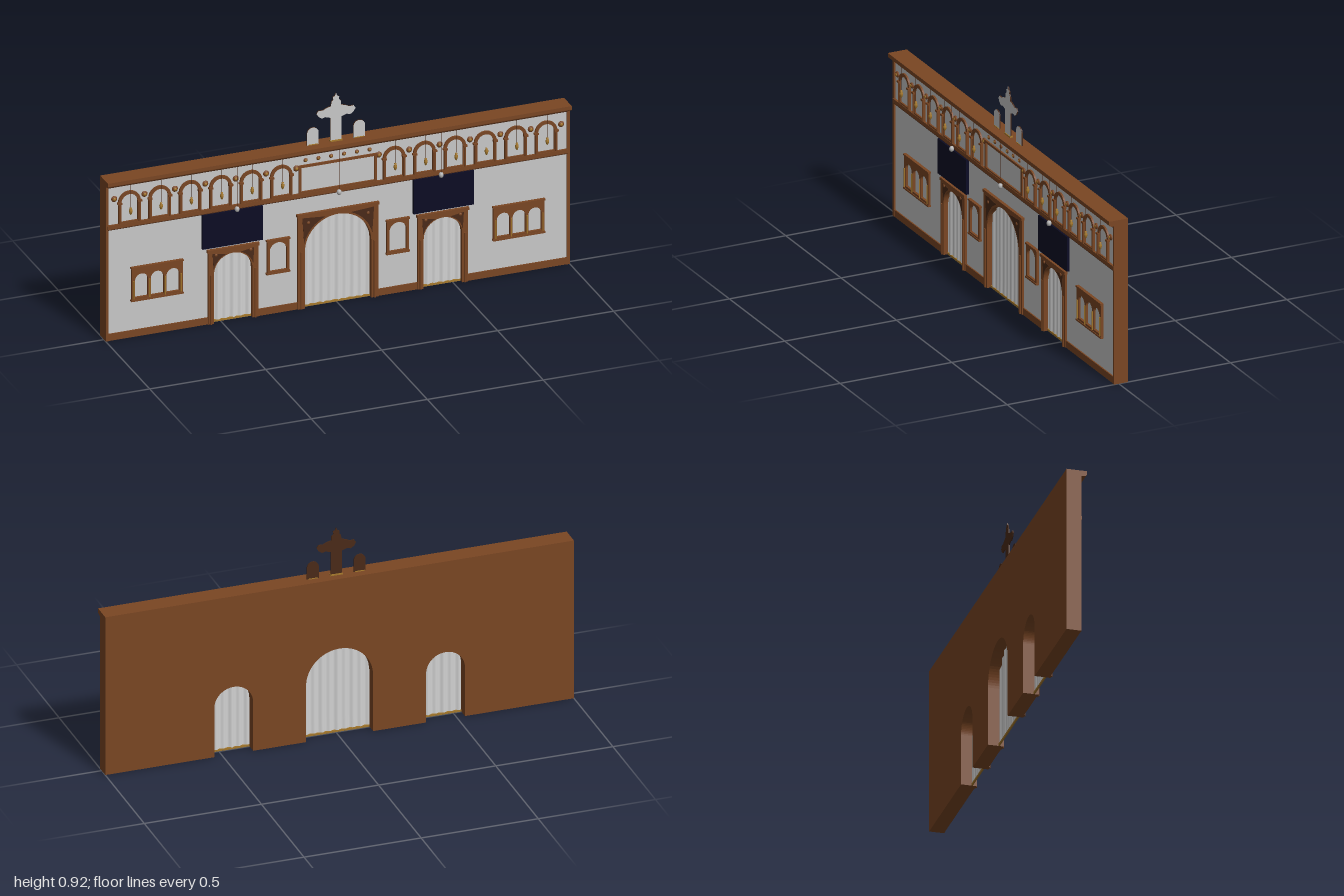
import * as THREE from 'three';

const mat = (name, color, side = THREE.FrontSide) => {
  const m = new THREE.MeshStandardMaterial({ color, side });
  m.name = name;
  return m;
};

export function createModel() {
  const group = new THREE.Group();
  const wood = mat('brown wood', 0x7a4623);
  const darkWood = mat('dark wood', 0x4a2a18);
  const plaster = mat('pale panel', 0xc8c8c8);
  const cloth = mat('curtain cloth', 0xd2d2d2, THREE.DoubleSide);
  const navy = mat('navy panel', 0x0b0b24);
  const gold = mat('gold', 0xa5782c);
  const silver = mat('silver', 0xb4b4b4);

  const add = (name, geo, material, x = 0, y = 0, z = 0) => {
    const m = new THREE.Mesh(geo, material);
    m.name = name;
    m.position.set(x, y, z);
    group.add(m);
    return m;
  };
  // box given by its x, y and z ranges
  const box = (name, material, x0, x1, y0, y1, z0, z1) =>
    add(name, new THREE.BoxGeometry(x1 - x0, y1 - y0, z1 - z0), material, (x0 + x1) / 2, (y0 + y1) / 2, (z0 + z1) / 2);
  const extrude = (shape, depth) =>
    new THREE.ExtrudeGeometry(shape, { depth, bevelEnabled: false, curveSegments: 20 });
  // round-topped outline standing on y0
  const arch = (path, cx, w, y0, top) => {
    path.moveTo(cx - w, y0);
    path.lineTo(cx + w, y0);
    path.lineTo(cx + w, top - w);
    path.absarc(cx, top - w, w, 0, Math.PI, false);
    path.lineTo(cx - w, y0);
    return path;
  };
  const rect = (x0, x1, y0, y1) =>
    new THREE.Shape([[x0, y0], [x1, y0], [x1, y1], [x0, y1]].map(p => new THREE.Vector2(...p)));
  // rectangle with round-topped openings cut from its bottom edge
  const notched = (x0, x1, top, doors) => {
    const s = new THREE.Shape();
    s.moveTo(x0, 0);
    for (const d of doors) {
      s.lineTo(d.x - d.w, 0);
      s.lineTo(d.x - d.w, d.top - d.w);
      s.absarc(d.x, d.top - d.w, d.w, Math.PI, 0, true);
      s.lineTo(d.x + d.w, 0);
    }
    s.lineTo(x1, 0);
    s.lineTo(x1, top);
    s.lineTo(x0, top);
    return s;
  };

  // wall with three doorways and its pale facing
  const doors = [
    { x: -0.452, w: 0.083, top: 0.302, ow: 0.108, otop: 0.325 },
    { x: 0, w: 0.143, top: 0.396, ow: 0.173, otop: 0.416 },
    { x: 0.452, w: 0.083, top: 0.302, ow: 0.108, otop: 0.325 },
  ];
  add('wall', extrude(notched(-0.995, 0.995, 0.7, doors), 0.055), wood, 0, 0, -0.042);
  add('facing', new THREE.ShapeGeometry(notched(-0.99, 0.99, 0.69, doors), 20), plaster, 0, 0, 0.0145);

  // cornice with a rounded underside
  const c = new THREE.Shape();
  c.moveTo(-0.042, 0.685);
  c.lineTo(0.02, 0.685);
  c.quadraticCurveTo(0.043, 0.685, 0.043, 0.695);
  c.lineTo(0.043, 0.709);
  c.lineTo(-0.042, 0.709);
  add('cornice', extrude(c, 2).rotateY(-Math.PI / 2), wood, 1, 0, 0);
  box('corniceShadowLine', darkWood, -0.99, 0.99, 0.678, 0.685, 0.012, 0.024);
  box('friezeRail', wood, -0.995, 0.995, 0.494, 0.511, 0.01, 0.024);
  box('friezeRailLine', darkWood, -0.99, 0.99, 0.49, 0.494, 0.012, 0.022);
  for (const s of [-1, 1]) box('endPost', wood, s * 0.994 - 0.006, s * 0.994 + 0.006, 0, 0.69, -0.042, 0.021);

  // plinth between the doors
  for (const [a, b] of [[-0.99, -0.56], [-0.344, -0.173], [0.173, 0.344], [0.56, 0.99]])
    box('plinth', wood, a, b, 0, 0.03, 0.01, 0.02);

  // door frames, curtains and fringes
  for (const d of doors) {
    add('doorFrame', extrude(notched(d.x - d.ow, d.x + d.ow, d.otop, [d]), 0.012), wood, 0, 0, 0.012);
    box('doorLintel', wood, d.x - d.ow - 0.004, d.x + d.ow + 0.004, d.otop - 0.008, d.otop + 0.004, 0.012, 0.028);
    for (const s of [-1, 1]) {
      const e = d.x + s * (d.w + (d.ow - d.w) / 2);
      add('doorColonnette', new THREE.CylinderGeometry(0.005, 0.005, d.top - d.w, 10), wood, e, (d.top - d.w) / 2, 0.024);
      // carved spandrel
      const r = d.w * 1.06, n = 8, cy = d.top - d.w, pts = [[d.w * 1.08, d.otop - 0.014]];
      for (let i = 0; i <= n; i++) {
        const a = 1.2 - (i / n) * 0.95;
        pts.push([r * Math.cos(a), Math.min(cy + r * Math.sin(a), d.otop - 0.014)]);
      }
      const sp = new THREE.Shape(pts.map(p => new THREE.Vector2(d.x + s * p[0], p[1])));
      add('spandrelCarving', extrude(sp, 0.002), darkWood, 0, 0, 0.0235);
      add('spandrelRosette', new THREE.SphereGeometry(0.007, 10, 6).scale(1, 1, 0.5), wood,
        d.x + s * d.w * 0.9, d.otop - d.w * 0.26, 0.026);
    }
    const g = new THREE.PlaneGeometry(2 * d.w, 1, 72, 6);
    const p = g.attributes.position;
    for (let i = 0; i < p.count; i++) {
      const x = p.getX(i), h = d.top - d.w + Math.sqrt(Math.max(0, d.w * d.w - x * x));
      p.setXYZ(i, x, 0.008 + (p.getY(i) + 0.5) * (h - 0.008), 0.003 * Math.sin(x * 190) + 0.001 * Math.sin(x * 83));
    }
    g.computeVertexNormals();
    add('curtain', g, cloth, d.x, 0, 0.004);
    box('curtainFringe', gold, d.x - d.w, d.x + d.w, 0, 0.009, 0.001, 0.007);
  }

  // framed plaque with round-topped openings
  const plaque = (name, x, w, y0, y1, centres, hw, hy0, hy1) => {
    const s = rect(x - w, x + w, y0, y1);
    for (const k of centres) s.holes.push(arch(new THREE.Path(), x + k, hw, hy0, hy1));
    add(name, extrude(s, 0.011), wood, 0, 0, 0.014);
    box(name + 'Cap', wood, x - w - 0.003, x + w + 0.003, y1 - 0.007, y1, 0.014, 0.028);
    box(name + 'Sill', wood, x - w - 0.003, x + w + 0.003, y0, y0 + 0.007, 0.014, 0.028);
  };
  for (const s of [-1, 1]) {
    box('navyPanel', navy, s * 0.455 - 0.13, s * 0.455 + 0.13, 0.338, 0.488, 0.014, 0.027);
    plaque('singlePlaque', s * 0.258, 0.048, 0.177, 0.329, [0], 0.037, 0.19, 0.315);
    plaque('triplePlaque', s * 0.78, 0.11, 0.159, 0.31, [-0.068, 0, 0.068], 0.028, 0.175, 0.278);
    for (const k of [-0.102, -0.034, 0.034, 0.102])
      add('plaqueColonnette', new THREE.CylinderGeometry(0.003, 0.003, 0.08, 8), gold, s * 0.78 + k, 0.21, 0.027);
  }

  // frieze arches, hanging lamps and rosettes
  const lamp = new THREE.LatheGeometry([[0.0005, -0.017], [0.004, -0.013], [0.007, -0.004], [0.0075, 0.004],
    [0.004, 0.008], [0.005, 0.014], [0.0005, 0.017]].map(p => new THREE.Vector2(...p)), 12);
  const chain = (x, y0, z) =>
    add('chain', new THREE.CylinderGeometry(0.001, 0.001, 0.685 - y0, 5), darkWood, x, (0.685 + y0) / 2, z);
  const rosette = (x, y, r) => {
    add('rosette', new THREE.SphereGeometry(r, 12, 8).scale(1, 1, 0.5), wood, x, y, 0.018);
    add('rosetteBoss', new THREE.SphereGeometry(r * 0.55, 8, 6).scale(1, 1, 0.6), gold, x, y, 0.018 + r * 0.35);
  };
  for (const s of [-1, 1]) {
    for (let i = 0; i < 6; i++) {
      const x = s * (0.243 + i * 0.131);
      const a = arch(new THREE.Shape(), x, 0.048, 0.51, 0.651);
      a.holes.push(arch(new THREE.Path(), x, 0.035, 0.518, 0.637));
      add('friezeArch', extrude(a, 0.009), wood, 0, 0, 0.013);
      for (const k of [-1, 1]) {
        add('archColonnette', new THREE.CylinderGeometry(0.005, 0.005, 0.085, 8), wood, x + k * 0.043, 0.555, 0.022);
        box('archCapital', wood, x + k * 0.043 - 0.009, x + k * 0.043 + 0.009, 0.598, 0.606, 0.014, 0.028);
      }
      add('hangingLamp', lamp, gold, x, 0.567, 0.033);
      chain(x, 0.582, 0.033);
      rosette(x + s * 0.0655, 0.625, 0.013);
    }
    rosette(s * 0.178, 0.625, 0.013);
    for (let i = 0; i < 3; i++) rosette(s * (0.028 + i * 0.055), 0.655, 0.009);
  }
  const centre = rect(-0.168, 0.168, 0.51, 0.634);
  centre.holes.push(rect(-0.158, 0.158, 0.518, 0.624));
  add('centreFrame', extrude(centre, 0.009), wood, 0, 0, 0.013);

  // silver hanging globes
  for (const x of [-0.44, 0, 0.44]) {
    add('hangingGlobe', new THREE.SphereGeometry(0.01, 14, 10).scale(1, 1.25, 1), silver, x, 0.497, 0.035);
    chain(x, 0.508, 0.035);
  }

  // roof crest: cross with swelling arms between two round-topped plaques
  const half = [[0.024, 0.71], [0.024, 0.815], [0.045, 0.822], [0.062, 0.818], [0.076, 0.828], [0.084, 0.842],
    [0.076, 0.855], [0.058, 0.853], [0.04, 0.862], [0.022, 0.866], [0.02, 0.886], [0.012, 0.893], [0.014, 0.904], [0.005, 0.91]];
  const pts = [...half, [0, 0.922], ...half.map(([x, y]) => [-x, y]).reverse()];
  const crest = (name, shape) => {
    add(name, extrude(shape, 0.005), darkWood, 0, 0, -0.004);
    add(name + 'Face', new THREE.ShapeGeometry(shape, 20), plaster, 0, 0, 0.0015);
  };
  crest('cross', new THREE.Shape(pts.map(p => new THREE.Vector2(...p))));
  box('crossFoot', gold, -0.026, 0.026, 0.708, 0.715, -0.008, 0.005);
  for (const s of [-1, 1]) {
    crest('crestPlaque', arch(new THREE.Shape(), s * 0.1, 0.025, 0.708, 0.785));
    box('crestFoot', gold, s * 0.1 - 0.02, s * 0.1 + 0.02, 0.708, 0.712, -0.007, 0.004);
  }
  return group;
}
